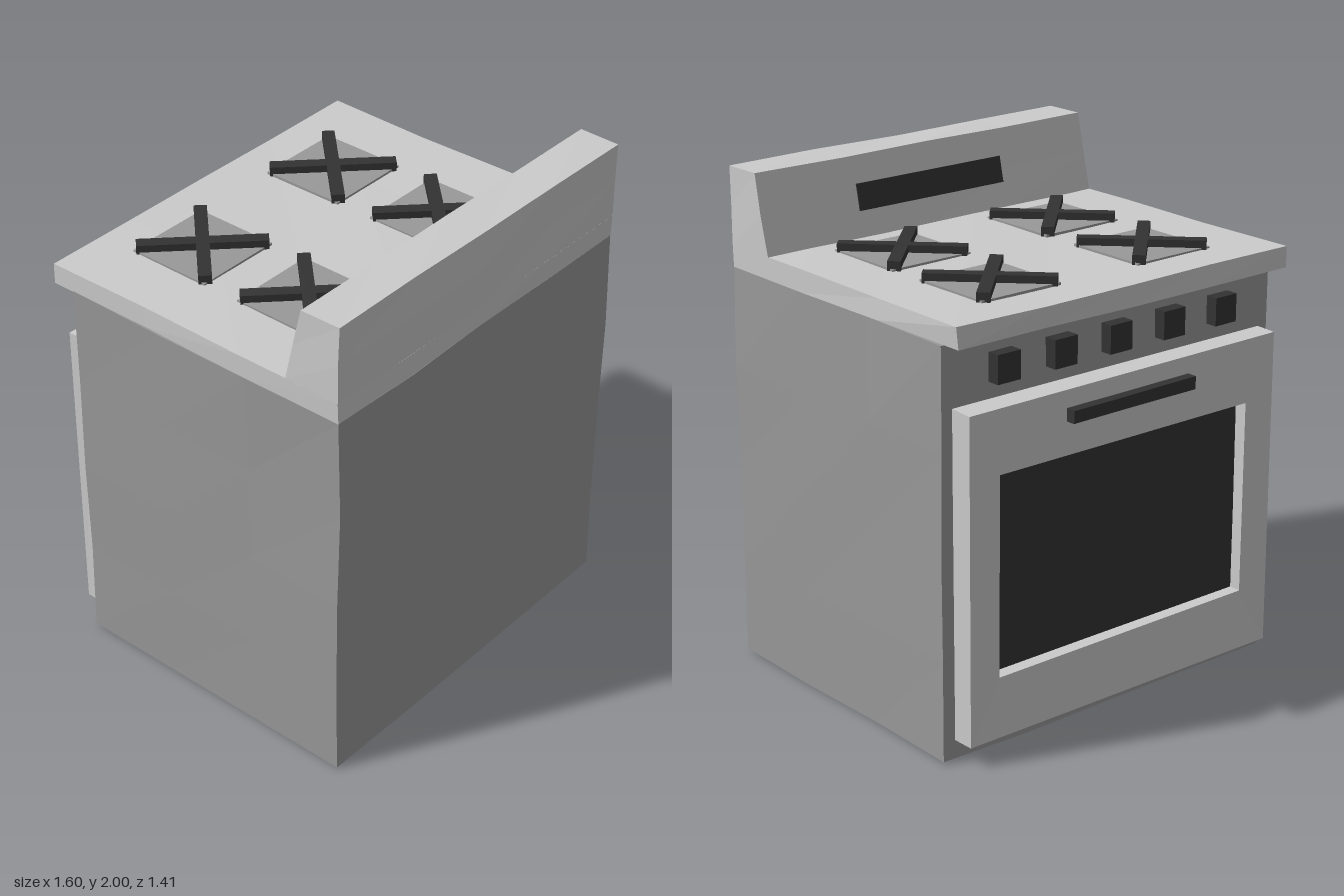
import * as THREE from 'three';

const material = (color) => new THREE.MeshStandardMaterial({ color, flatShading: true });

// Small repeatable offset that depends only on position, so shared corners stay joined
function wobble(geometry, amount) {
  const p = geometry.attributes.position;
  const hash = (x, y, z, k) => {
    const s = Math.sin(Math.round(x * 100) * 12.99 + Math.round(y * 100) * 78.23 + Math.round(z * 100) * 37.72 + k * 9.1) * 43758.5;
    return (s - Math.floor(s) - 0.5) * 2 * amount;
  };
  for (let i = 0; i < p.count; i++) {
    const x = p.getX(i), y = p.getY(i), z = p.getZ(i);
    p.setXYZ(i, x + hash(x, y, z, 1), y + hash(x, y, z, 2), z + hash(x, y, z, 3));
  }
  geometry.computeVertexNormals();
  return geometry;
}

// Box given by its [min, max] range on each axis
function block(name, mat, [x0, x1], [y0, y1], [z0, z1], seg = [1, 1, 1], amount = 0) {
  const g = new THREE.BoxGeometry(x1 - x0, y1 - y0, z1 - z0, ...seg);
  g.translate((x0 + x1) / 2, (y0 + y1) / 2, (z0 + z1) / 2);
  const mesh = new THREE.Mesh(amount ? wobble(g, amount) : g, mat);
  mesh.name = name;
  return mesh;
}

export function createModel() {
  const stove = new THREE.Group();
  stove.name = 'stove';
  const light = material(0xcccccc);
  const grey = material(0x999999);
  const dark = material(0x333333);

  // Cabinet and overhanging cooktop
  stove.add(block('body', grey, [-0.797, 0.797], [0.005, 1.605], [-0.57, 0.697], [4, 4, 3], 0.005));
  stove.add(block('cooktop', light, [-0.797, 0.797], [1.605, 1.69], [-0.662, 0.697], [4, 1, 3], 0.004));

  // Backsplash with a sloping front face
  const splash = block('backsplash', light, [-0.797, 0.797], [1.69, 1.997], [0.46, 0.697], [4, 2, 1]);
  const p = splash.geometry.attributes.position;
  for (let i = 0; i < p.count; i++) {
    if (p.getZ(i) < 0.5) p.setZ(i, 0.46 + 0.226 * (p.getY(i) - 1.69));
  }
  wobble(splash.geometry, 0.003);
  stove.add(splash);

  // Dark display lying on the slope
  const display = new THREE.Mesh(new THREE.BoxGeometry(0.71, 0.105, 0.012), dark);
  display.name = 'display';
  display.position.set(0, 1.84, 0.494);
  display.rotation.x = Math.atan(0.226);
  stove.add(display);

  // Four burners: a square plate under a crossed grate
  for (const x of [-0.37, 0.37]) {
    for (const z of [-0.32, 0.195]) {
      const burner = new THREE.Group();
      burner.name = 'burner';
      burner.position.set(x, 0, z);
      burner.add(block('burnerPlate', grey, [-0.183, 0.183], [1.685, 1.697], [-0.178, 0.178]));
      for (const side of [-1, 1]) {
        const bar = block('grateBar', dark, [-0.245, 0.245], [1.688, 1.726], [-0.025, 0.025]);
        bar.rotation.y = side * Math.PI / 4;
        burner.add(bar);
      }
      stove.add(burner);
    }
  }

  // Oven door frame around a recessed window
  const outline = new THREE.Shape([[-0.75, 0.08], [0.75, 0.08], [0.75, 1.36], [-0.75, 1.36]].map(c => new THREE.Vector2(...c)));
  outline.holes.push(new THREE.Path([[-0.61, 0.325], [-0.61, 1.105], [0.61, 1.105], [0.61, 0.325]].map(c => new THREE.Vector2(...c))));
  const frame = new THREE.ExtrudeGeometry(outline, { depth: 0.09, bevelEnabled: false });
  frame.translate(0, 0, -0.663);
  const door = new THREE.Mesh(wobble(frame, 0.003), light);
  door.name = 'ovenDoor';
  stove.add(door);
  stove.add(block('ovenWindow', dark, [-0.62, 0.62], [0.315, 1.115], [-0.61, -0.57]));
  stove.add(block('doorHandle', dark, [-0.3, 0.3], [1.238, 1.288], [-0.703, -0.655], [3, 1, 1], 0.002));

  // Row of control knobs
  for (let i = -2; i <= 2; i++) {
    stove.add(block('knob', dark, [i * 0.265 - 0.053, i * 0.265 + 0.053], [1.425, 1.535], [-0.62, -0.56]));
  }
  return stove;
}
